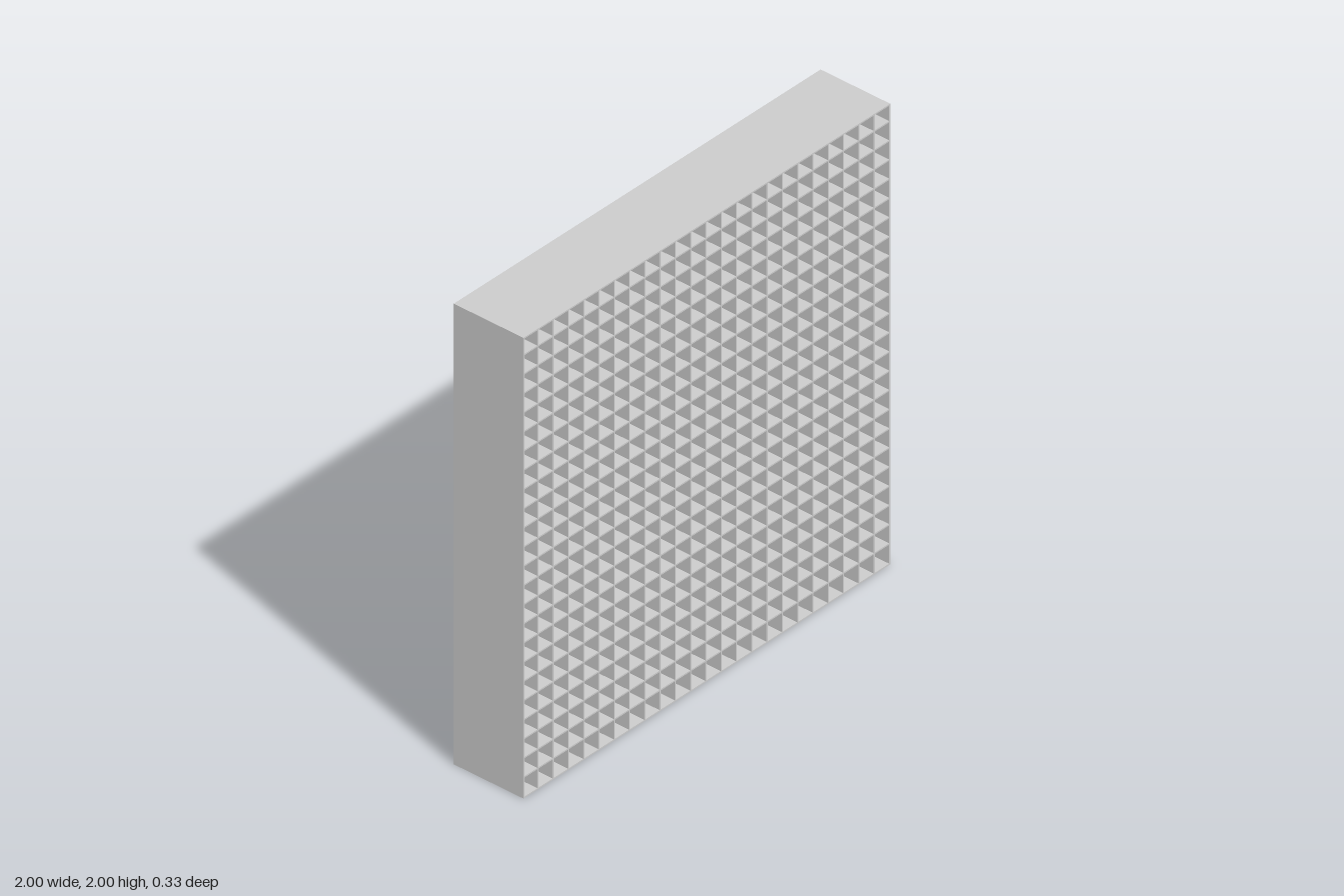
import * as THREE from 'three';

export function createModel() {
  const group = new THREE.Group();
  const material = new THREE.MeshStandardMaterial({ color: 0xcccccc, flatShading: true });
  const size = 2, depth = 1 / 3, wall = 0.006, cells = 24;
  const pitch = size / cells, gridDepth = pitch;
  const inner = size - 2 * wall;

  function addBox(name, w, h, d, x, y, z) {
    const mesh = new THREE.Mesh(new THREE.BoxGeometry(w, h, d), material);
    mesh.name = name;
    mesh.position.set(x, y, z);
    group.add(mesh);
  }

  // Deep outer frame, open at front and back
  const edge = size / 2 - wall / 2;
  addBox('frameBottom', size, wall, depth, 0, wall / 2, 0);
  addBox('frameTop', size, wall, depth, 0, size - wall / 2, 0);
  for (const [name, side] of [['frameLeft', 1], ['frameRight', -1]]) {
    addBox(name, wall, inner, depth, side * edge, size / 2, 0);
  }

  // Shallow egg-crate grid, flush with the front edge of the frame
  const z = depth / 2 - gridDepth / 2;
  for (let i = 1; i < cells; i++) {
    addBox('verticalSlat', wall, inner, gridDepth, -1 + i * pitch - 0.004, size / 2, z);
    addBox('horizontalSlat', inner, wall, gridDepth, 0, i * pitch + 0.008, z);
  }
  return group;
}
